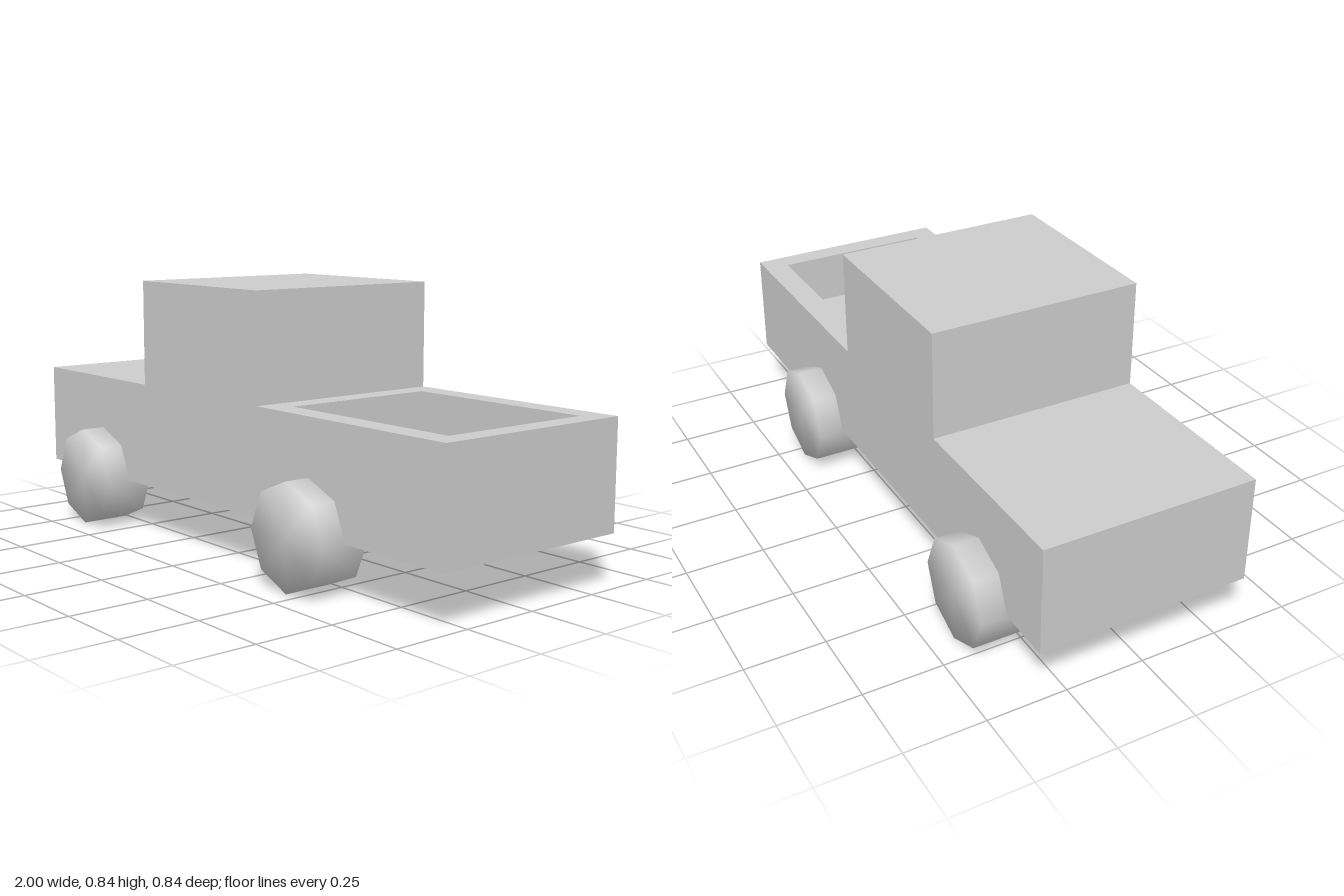
import * as THREE from 'three';
import { mergeGeometries, mergeVertices } from 'three/addons/utils/BufferGeometryUtils.js';

const HALF = 0.34, BASE = 0.164, DECK = 0.502, ROOF = 0.842, BED_FLOOR = 0.333;
const CAB_FRONT = -0.39, CAB_BACK = 0.215;
const BED = { x0: 0.29, x1: 0.93, z: 0.26 };

// Flat quad from four corners, counter-clockwise seen from outside
function quad(a, b, c, d) {
  const g = new THREE.BufferGeometry();
  g.setAttribute('position', new THREE.Float32BufferAttribute([...a, ...b, ...c, ...a, ...c, ...d], 3));
  g.computeVertexNormals();
  return g;
}

// Plain outline made ready to merge with the quads
function sheet(shape) {
  const g = new THREE.ShapeGeometry(shape).toNonIndexed();
  g.deleteAttribute('uv');
  return g;
}

const outline = (pts) => pts.map(([x, y]) => new THREE.Vector2(x, y));

function bodyGeometry() {
  const parts = [];
  // Side silhouette, counter-clockwise from the bottom of the nose
  const profile = [
    [-1, BASE], [1, BASE], [1, DECK], [CAB_BACK, DECK],
    [CAB_BACK, ROOF], [CAB_FRONT, ROOF], [CAB_FRONT, DECK], [-1, DECK],
  ];
  const side = new THREE.Shape(outline(profile));
  parts.push(sheet(side).translate(0, 0, HALF));
  parts.push(sheet(side).rotateY(Math.PI).scale(1, 1, 1).translate(0, 0, -HALF));
  // The far side is not symmetric in x, so mirror its silhouette first
  parts.pop();
  const mirrored = new THREE.Shape(outline(profile.map(([x, y]) => [-x, y]).reverse()));
  parts.push(sheet(mirrored).rotateY(Math.PI).translate(0, 0, -HALF));

  // Skin between the two sides, leaving out the top of the bed
  profile.forEach(([ax, ay], i) => {
    if (i === 2) return;
    const [bx, by] = profile[(i + 1) % profile.length];
    parts.push(quad([ax, ay, -HALF], [bx, by, -HALF], [bx, by, HALF], [ax, ay, HALF]));
  });

  // Rim around the bed opening
  const { x0, x1, z } = BED;
  const rim = new THREE.Shape(outline([[CAB_BACK, -HALF], [1, -HALF], [1, HALF], [CAB_BACK, HALF]]));
  const opening = [[x0, -z], [x1, -z], [x1, z], [x0, z]];
  rim.holes.push(new THREE.Path(outline(opening)));
  parts.push(sheet(rim).rotateX(-Math.PI / 2).translate(0, DECK, 0));

  // Inner walls and floor of the bed
  opening.forEach(([ax, az], i) => {
    const [bx, bz] = opening[(i + 1) % 4];
    parts.push(quad([ax, BED_FLOOR, az], [bx, BED_FLOOR, bz], [bx, DECK, bz], [ax, DECK, az]));
  });
  parts.push(quad([x0, BED_FLOOR, z], [x1, BED_FLOOR, z], [x1, BED_FLOOR, -z], [x0, BED_FLOOR, -z]));
  return mergeGeometries(parts);
}

// Eight-sided wheel with shared vertices, so it shades softly
function wheelGeometry() {
  const g = new THREE.CylinderGeometry(0.163, 0.163, 0.162, 8).rotateX(Math.PI / 2);
  g.deleteAttribute('uv');
  g.deleteAttribute('normal');
  const merged = mergeVertices(g, 1e-4);
  merged.computeVertexNormals();
  return merged;
}

export function createModel() {
  const model = new THREE.Group();
  model.name = 'pickupTruck';
  const grey = new THREE.MeshStandardMaterial({ color: 0xcccccc });

  const body = new THREE.Mesh(bodyGeometry(), grey);
  body.name = 'body';
  model.add(body);

  const wheel = wheelGeometry();
  for (const [end, x] of [['front', -0.661], ['rear', 0.455]]) {
    for (const [sideName, s] of [['Near', 1], ['Far', -1]]) {
      const mesh = new THREE.Mesh(wheel, grey);
      mesh.name = `${end}Wheel${sideName}`;
      mesh.position.set(x, 0.163, s * 0.339);
      model.add(mesh);
    }
  }
  return model;
}
